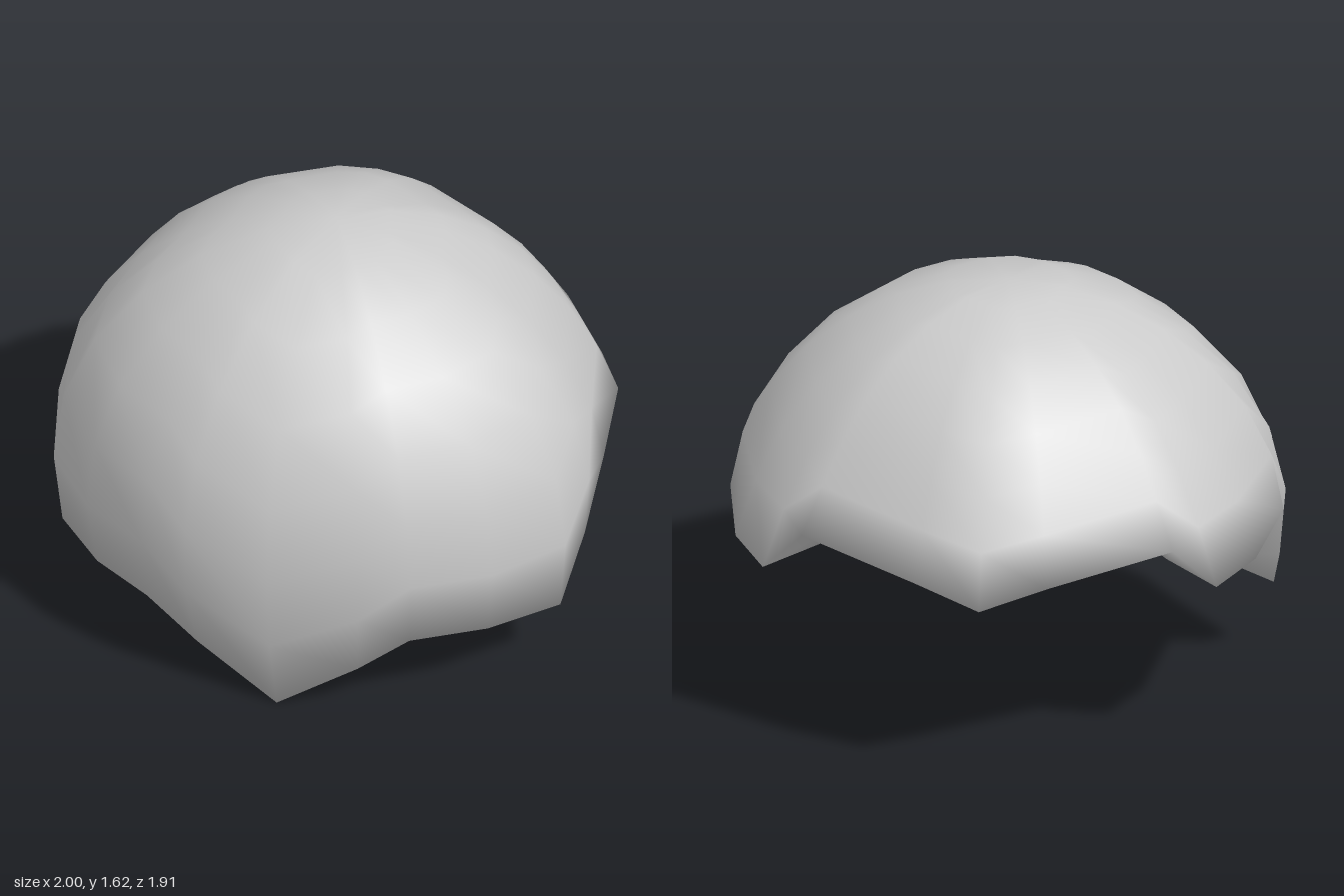
import * as THREE from 'three';

// Jagged lower edge, from the front tip round the left side to the back tip
const HALF_RIM = [
  [0, 0, 0.83], [0.3, 0.21, 0.82], [0.49, 0.37, 0.81], [0.73, 0.335, 0.62],
  [0.93, 0.30, 0.37], [0.97, 0.50, 0.19], [1.0, 0.75, 0.04], [0.94, 0.74, -0.36],
  [0.82, 0.72, -0.57], [0.67, 0.89, -0.65], [0.24, 0.83, -0.88], [0, 0.76, -0.95],
];
const RINGS = 7;
const CENTRE = new THREE.Vector3(0, 0.7, 0);
const LIP_CENTRE = new THREE.Vector3(0, 0.88, 0);
const APEX = new THREE.Vector3(0, 1, 0.043).normalize();

// Dome radius by direction: widest at the sides, fuller at the front than the back
const domeRadius = ({ x, z }) =>
  0.918 + 0.08 * x ** 4 + 0.045 * z - 0.01 * z * z + 0.06 * x * x * z;

// Point on the arc from the apex (t = 0) to a rim point (t = 1)
function arcPoint(rim, t) {
  const end = rim.clone().sub(CENTRE);
  const rimRadius = end.length();
  end.normalize();
  const angle = APEX.angleTo(end);
  const dir = APEX.clone().multiplyScalar(Math.sin((1 - t) * angle))
    .addScaledVector(end, Math.sin(t * angle)).divideScalar(Math.sin(angle));
  // The edge flares away from the dome only close to the rim
  const flare = (rimRadius - domeRadius(end)) * t ** 7;
  return dir.multiplyScalar(domeRadius(dir) + flare).add(CENTRE);
}

function capGeometry() {
  const mirrored = HALF_RIM.slice(1, -1).reverse().map(([x, y, z]) => [-x, y, z]);
  const rim = [...HALF_RIM, ...mirrored].map((p) => new THREE.Vector3(...p));
  const n = rim.length;
  const rows = RINGS + 1; // dome rings plus the inner edge of the lip
  const points = [arcPoint(rim[0], 0)];
  for (const p of rim) {
    for (let j = 1; j <= RINGS; j++) points.push(arcPoint(p, j / RINGS));
    // Lip turned inward under the dome
    points.push(p.clone().sub(LIP_CENTRE).multiplyScalar(0.76).add(LIP_CENTRE));
  }
  const id = (i, j) => 1 + (i % n) * rows + j;
  const index = [];
  for (let i = 0; i < n; i++) {
    index.push(0, id(i, 0), id(i + 1, 0));
    for (let j = 0; j < rows - 1; j++) {
      const a = id(i, j), b = id(i, j + 1), c = id(i + 1, j + 1), d = id(i + 1, j);
      index.push(a, b, c, a, c, d);
    }
  }
  const geometry = new THREE.BufferGeometry().setFromPoints(points);
  geometry.setIndex(index);
  geometry.computeVertexNormals();
  return geometry;
}

export function createModel() {
  const group = new THREE.Group();
  group.name = 'hairCap';
  const material = new THREE.MeshStandardMaterial({ color: 0xcccccc, side: THREE.DoubleSide });
  const cap = new THREE.Mesh(capGeometry(), material);
  cap.name = 'domeWithJaggedRim';
  group.add(cap);
  return group;
}
